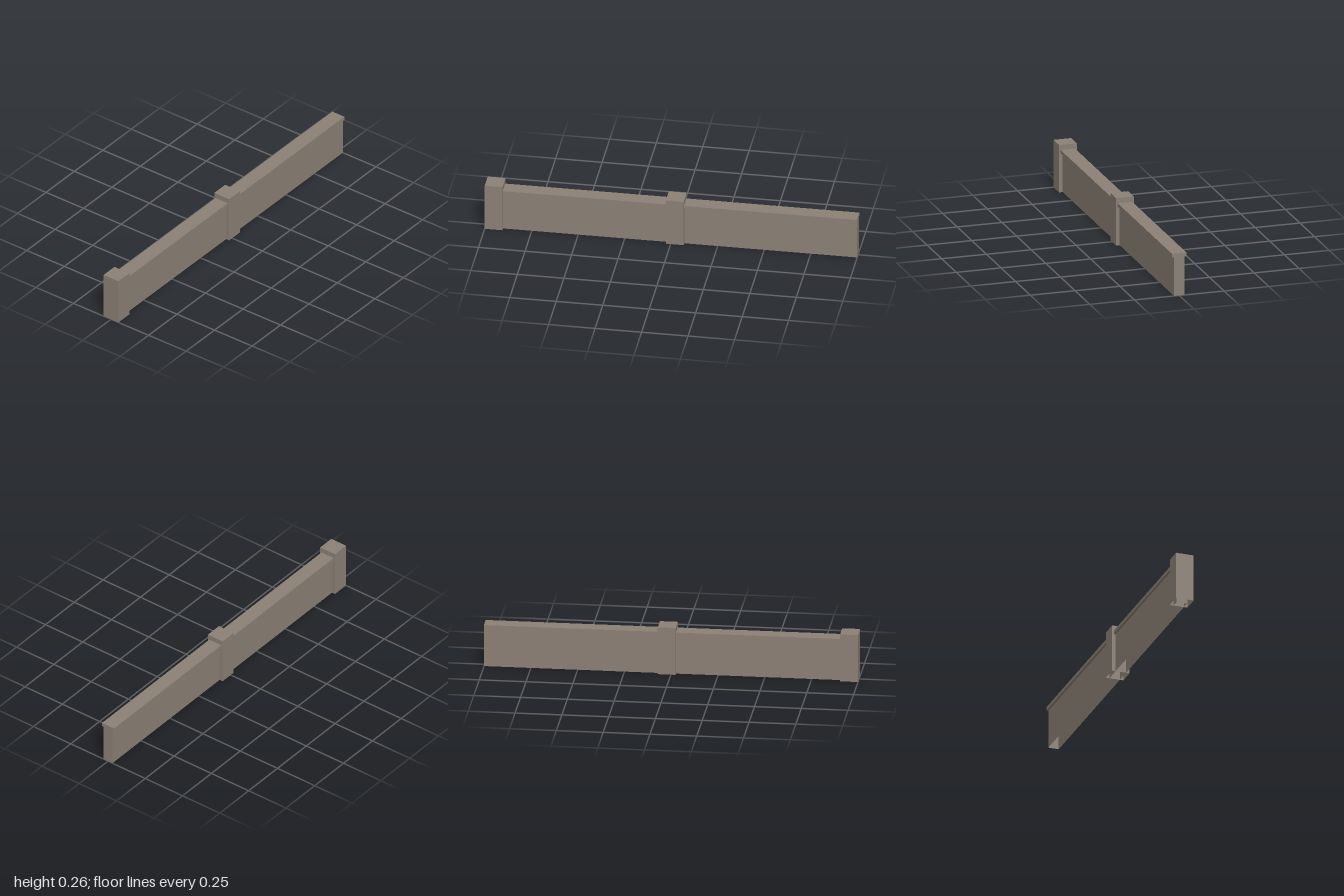
import * as THREE from 'three';

const stone = new THREE.MeshStandardMaterial({ color: 0x8b8075, side: THREE.DoubleSide });
stone.name = 'warm grey stone';

// Box spanning x0..x1 and y0..y1, centred on z, without the listed faces
// (face order: +x, -x, +y, -y, +z, -z)
function block(name, x0, x1, y0, y1, depth, openFaces = []) {
  const geometry = new THREE.BoxGeometry(x1 - x0, y1 - y0, depth);
  const index = Array.from(geometry.index.array);
  geometry.setIndex(index.filter((_, i) => !openFaces.includes(Math.floor(i / 6))));
  geometry.clearGroups();
  geometry.translate((x0 + x1) / 2, (y0 + y1) / 2, 0);
  const mesh = new THREE.Mesh(geometry, stone);
  mesh.name = name;
  return mesh;
}

export function createModel() {
  const group = new THREE.Group();
  group.name = 'parapetWall';
  const TOP = 2, BOTTOM = 3;

  // Hollow wall, open underneath and closed above by the coping
  group.add(block('wall', -0.95, 1, 0, 0.215, 0.059, [TOP, BOTTOM]));
  group.add(block('coping', -0.95, 1, 0.215, 0.235, 0.081));

  // Hollow posts at the right end and in the middle
  group.add(block('endPost', -1, -0.904, 0, 0.264, 0.099, [BOTTOM]));
  group.add(block('middlePost', -0.026, 0.07, 0, 0.264, 0.099, [BOTTOM]));

  return group;
}
